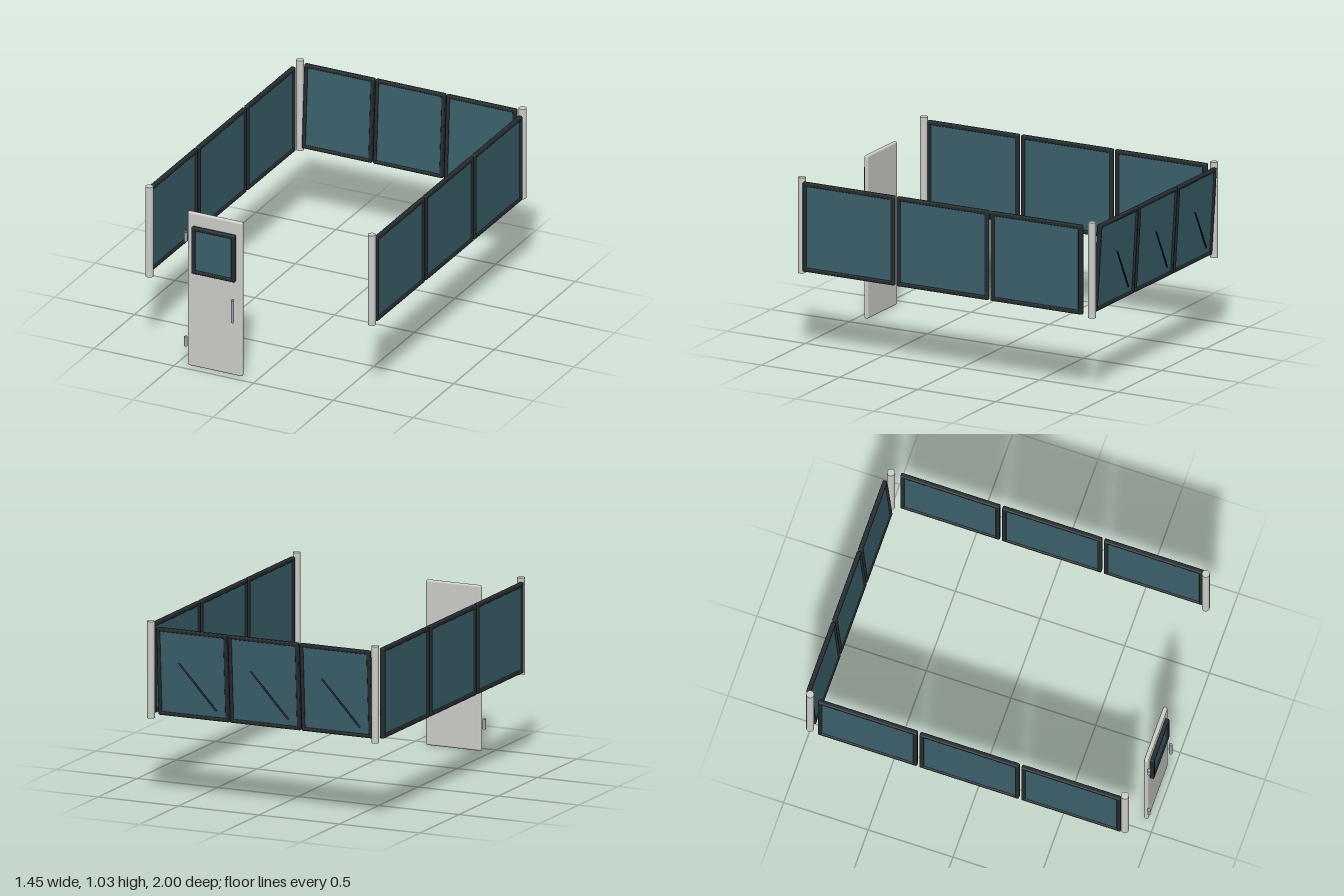
import * as THREE from 'three';
import { RoundedBoxGeometry } from 'three/addons/geometries/RoundedBoxGeometry.js';

const mat = (color) => new THREE.MeshStandardMaterial({ color });

export function createModel() {
  const root = new THREE.Group();
  root.name = 'cabin';
  const black = mat(0x252b2e), glass = mat(0x3a606b), white = mat(0xcdcec8), steel = mat(0x98a3a7);

  function add(parent, name, geometry, material, x = 0, y = 0, z = 0) {
    const mesh = new THREE.Mesh(geometry, material);
    mesh.name = name;
    mesh.position.set(x, y, z);
    parent.add(mesh);
    return mesh;
  }

  // Glazed pane with a rounded bar along each edge, facing +z
  function pane(name, w, h, depth, bar) {
    const group = new THREE.Group();
    group.name = name;
    const r = bar * 0.3;
    for (const s of [-1, 1]) {
      add(group, 'frameUpright', new RoundedBoxGeometry(bar, h, depth, 2, r), black, s * (w - bar) / 2);
      add(group, 'frameRail', new RoundedBoxGeometry(w, bar, depth, 2, r), black, 0, s * (h - bar) / 2);
    }
    add(group, 'glass', new THREE.BoxGeometry(w - bar, h - bar, depth * 0.4), glass);
    return group;
  }

  // Straight rod between two points
  function rod(parent, name, a, b, radius, material) {
    const dir = new THREE.Vector3().subVectors(b, a);
    const mesh = add(parent, name, new THREE.CylinderGeometry(radius, radius, dir.length(), 8), material);
    mesh.position.addVectors(a, b).multiplyScalar(0.5);
    mesh.quaternion.setFromUnitVectors(new THREE.Vector3(0, 1, 0), dir.normalize());
  }

  // Corner posts
  for (const x of [-0.697, 0.697]) {
    for (const z of [-0.947, 0.912]) {
      add(root, 'cornerPost', new THREE.CylinderGeometry(0.022, 0.022, 0.555, 24), white, x, 0.753, z);
    }
  }

  // Side windows, three on each side
  for (const s of [-1, 1]) {
    for (const i of [-1, 0, 1]) {
      const side = pane('sideWindow', 0.587, 0.52, 0.027, 0.024);
      side.position.set(s * 0.711, 0.749, i * 0.601);
      side.rotation.y = s * Math.PI / 2;
      root.add(side);
    }
  }

  // Back windows leaning outward at the top, each with a wiper behind
  for (const i of [-1, 0, 1]) {
    const x = -0.012 + i * 0.445;
    const back = pane('backWindow', 0.437, 0.508, 0.027, 0.021);
    back.position.set(x, 0.751, -0.95);
    back.rotation.x = -0.06;
    root.add(back);
    rod(root, 'wiper', new THREE.Vector3(x + 0.067, 0.82, -0.997),
      new THREE.Vector3(x - 0.145, 0.555, -0.95), 0.005, black);
  }

  // Door with window, handle and hinges
  const door = new THREE.Group();
  door.name = 'door';
  root.add(door);
  add(door, 'doorLeaf', new RoundedBoxGeometry(0.344, 0.95, 0.025, 3, 0.011), white, -0.265, 0.475, 0.946);
  const doorWindow = pane('doorWindow', 0.27, 0.287, 0.027, 0.022);
  doorWindow.position.set(-0.265, 0.726, 0.968);
  door.add(doorWindow);
  add(door, 'doorHandle', new THREE.CylinderGeometry(0.009, 0.009, 0.138, 16), steel, -0.136, 0.409, 0.99);
  for (const y of [0.151, 0.797]) {
    add(door, 'hinge', new THREE.CylinderGeometry(0.01, 0.01, 0.058, 16), steel, -0.441, y, 0.966);
  }
  return root;
}
